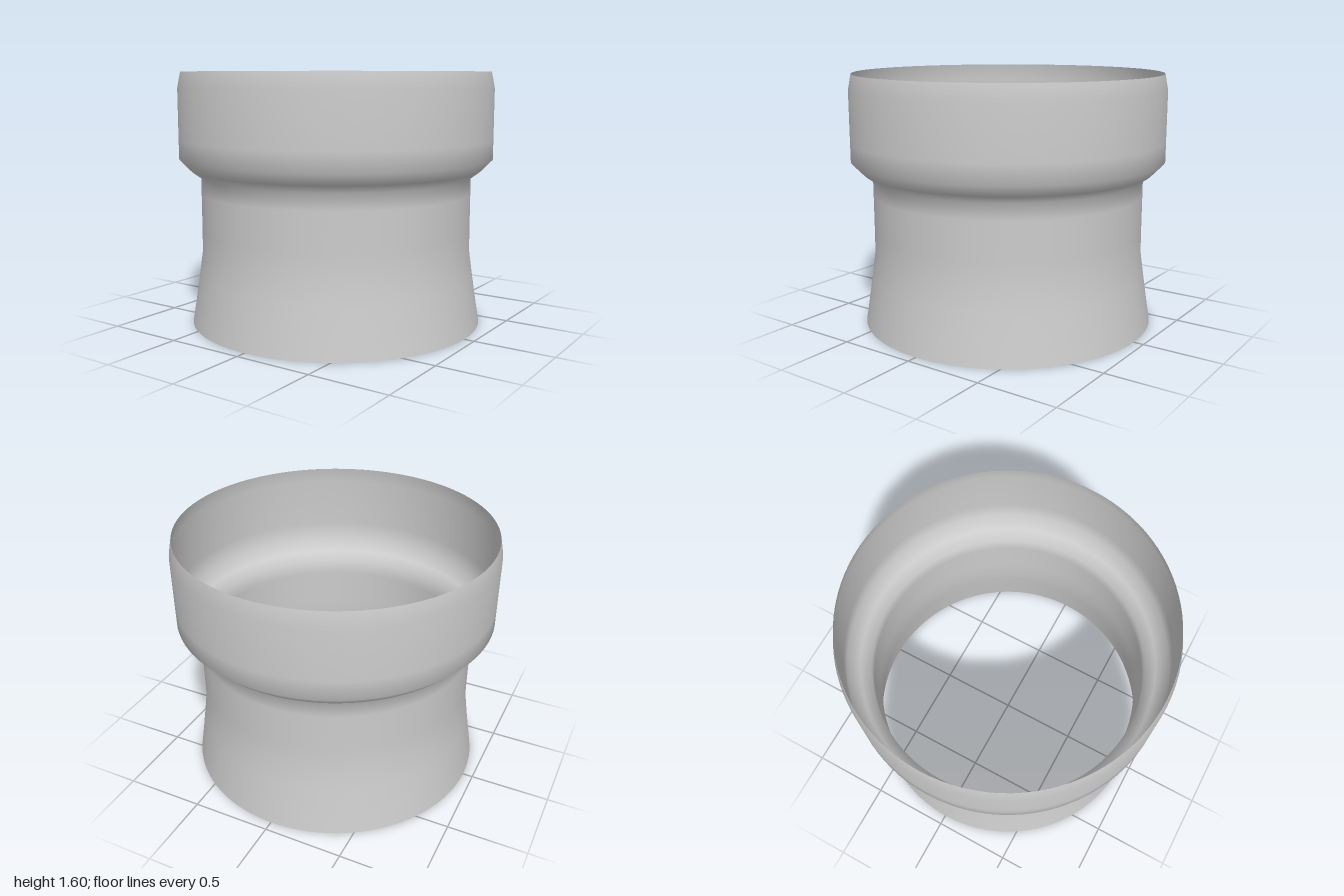
import * as THREE from 'three';

export function createModel() {
  const group = new THREE.Group();
  group.name = 'pipeCollar';
  const material = new THREE.MeshStandardMaterial({ color: 0xcccccc, side: THREE.DoubleSide });

  // Open thin wall: flared foot, straight neck, sloped shoulder, wide socket, tapered rim
  const profile = [
    [0.936, 0], [0.912, 0.15], [0.888, 0.31], [0.867, 0.46],
    [0.866, 0.6], [0.866, 0.84], [0.866, 0.94],
    [0.93, 0.988], [1, 1.06],
    [1, 1.18], [1, 1.5], [0.98, 1.6],
  ].map(([r, y]) => new THREE.Vector2(r, y));

  const wall = new THREE.Mesh(new THREE.LatheGeometry(profile, 96), material);
  wall.name = 'collarWall';
  group.add(wall);
  return group;
}
